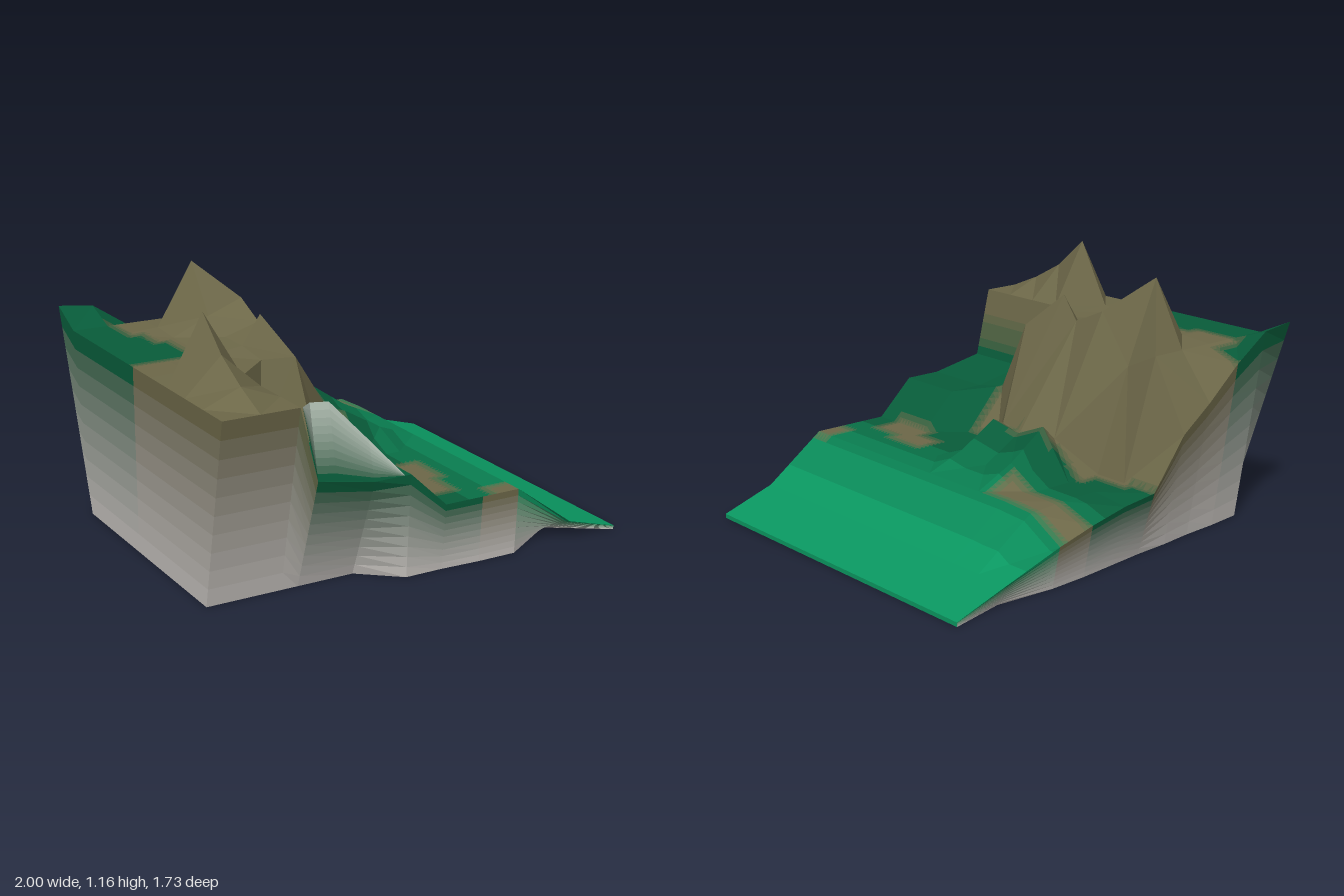
import * as THREE from 'three';

// Terrain grid: columns run left to right (x), rows run back to front (z)
const XS = [-1, -0.83, -0.65, -0.47, -0.3, -0.12, 0.06, 0.25, 0.44, 0.73, 1];
const ZS = [-0.855, -0.68, -0.51, -0.34, -0.17, 0, 0.18, 0.35, 0.52, 0.69, 0.86];
const HEIGHTS = [
  [0.94, 0.92, 0.8, 0.65, 0.54, 0.31, 0.29, 0.25, 0.2, 0.1, 0.02],
  [0.86, 0.86, 0.86, 0.86, 0.86, 0.31, 0.31, 0.31, 0.3, 0.1, 0.02],
  [0.86, 0.86, 0.87, 1.165, 0.78, 0.31, 0.31, 0.31, 0.31, 0.1, 0.02],
  [0.86, 0.86, 0.86, 0.94, 1.005, 0.46, 0.53, 0.4, 0.31, 0.1, 0.02],
  [0.86, 0.86, 0.86, 0.88, 0.93, 0.47, 0.46, 0.35, 0.31, 0.1, 0.02],
  [0.86, 0.86, 0.86, 0.88, 1.015, 0.46, 0.49, 0.38, 0.31, 0.1, 0.02],
  [0.86, 0.865, 0.86, 0.86, 0.85, 0.31, 0.31, 0.31, 0.31, 0.1, 0.02],
  [0.86, 1.165, 0.86, 0.53, 0.51, 0.31, 0.31, 0.31, 0.31, 0.1, 0.02],
  [0.86, 1.02, 0.86, 0.53, 0.48, 0.48, 0.31, 0.31, 0.31, 0.1, 0.02],
  [0.86, 0.93, 0.86, 0.53, 0.48, 0.48, 0.31, 0.31, 0.31, 0.1, 0.02],
  [0.86, 0.86, 0.86, 0.53, 0.48, 0.48, 0.31, 0.31, 0.31, 0.1, 0.02],
];
const N = 10; // cells per side
const SUB = 8; // colour patches per cell side

// Outline of the footing, narrower than the rim at the high end
const BASE_FRONT = [0.68, 0.68, 0.68, 0.68, 0.68, 0.83, 0.83, 0.84, 0.84, 0.66, 0.84];
const BASE_BACK = [-0.54, -0.71, -0.73, -0.74, -0.76, -0.77, -0.79, -0.81, -0.82, -0.8, -0.86];

const ROCK_COLOR = new THREE.Color(0x6c6748);
const MEADOW = new THREE.Color(0x085c3a);
const GRASS = new THREE.Color(0x0a9660);
const EARTH = new THREE.Color(0xc0bcb8);
const PALE = new THREE.Color(0xb4c2b6);

// Bare rock areas as x0, x1, z0, z1
const ROCK = [
  [-0.65, -0.12, -0.9, -0.64], [-0.8, -0.08, -0.72, -0.46], [-0.75, 0.0, -0.54, -0.3],
  [-0.7, 0.06, -0.38, -0.13], [-0.65, 0.04, -0.21, 0.04], [-1.1, -0.02, -0.02, 0.2],
  [-1.1, -0.12, 0.14, 0.35], [-1.1, -0.6, 0.3, 0.9],
  [0.27, 0.41, -0.9, -0.38], [0.04, 0.19, 0.48, 0.73], [0.11, 0.24, 0.34, 0.56], [0.31, 0.45, 0.77, 0.9],
];

// Grass brightens downhill, and rock patches have soft edges, both in a few steps
function groundColor(x, z) {
  const step = (v) => Math.round(THREE.MathUtils.clamp(v, 0, 1) * 4) / 4;
  const inside = Math.max(...ROCK.map(([x0, x1, z0, z1]) => Math.min(x - x0, x1 - x, z - z0, z1 - z)));
  return MEADOW.clone().lerp(GRASS, step((x - 0.1) / 0.6)).lerp(ROCK_COLOR, step(0.5 + inside / 0.06));
}

// Grid corner, nudged where the cliff, crest and crest foot leave the grid
function corner(i, j) {
  let x = XS[i], z = ZS[j];
  if (i === 3 && j >= 7) x = -0.57;
  if (i === 4 && j === 5) x = -0.38;
  if (i === 5 && j >= 3 && j <= 5) x = [-0.01, 0.04, 0][j - 3];
  if (j === N && i === N) z = 0.84;
  if (j === 0 && i > 3 && i !== 9) z = -0.865;
  return new THREE.Vector3(x, HEIGHTS[j][i], z);
}

function basePoint(i, j) {
  const x = corner(i, j).x;
  const z = i === N ? corner(i, j).z
    : j === 0 ? BASE_BACK[i]
    : j === N ? BASE_FRONT[i]
    : THREE.MathUtils.clamp(ZS[j], BASE_BACK[i], BASE_FRONT[i]);
  return new THREE.Vector3(x, 0, z);
}

export function createModel() {
  const group = new THREE.Group();
  group.name = 'mountainTerrain';

  // Collects triangles by part and colour
  const buckets = new Map();
  function tri(part, color, a, b, c) {
    const key = part + '|' + color.getHexString();
    if (!buckets.has(key)) buckets.set(key, { part, color, points: [] });
    buckets.get(key).points.push(a, b, c);
  }
  function quad(part, color, a, b, c, d) {
    tri(part, color, a, b, c);
    tri(part, color, a, c, d);
  }
  const mix = (a, b, t) => a.clone().lerp(b, t);

  // A skin between an upper and a lower edge, in bands that fade in colour
  function fadingStrip(part, top, low, from, to) {
    const bands = 10;
    for (let s = 0; s < bands; s++) {
      const t = s / bands, u = (s + 1) / bands;
      quad(part, mix(from, to, s / (bands - 1)),
        mix(top[0], low[0], t), mix(top[0], low[0], u), mix(top[1], low[1], u), mix(top[1], low[1], t));
    }
  }

  // One flat facet split into small triangles so colours can change across it
  function facet(a, b, c) {
    const p = (u, v) => a.clone()
      .addScaledVector(b.clone().sub(a), u / SUB)
      .addScaledVector(c.clone().sub(a), v / SUB);
    const add = (q, r, s) => {
      const m = q.clone().add(r).add(s).divideScalar(3);
      tri('ground', groundColor(m.x, m.z), q, r, s);
    };
    for (let u = 0; u < SUB; u++) {
      for (let v = 0; v < SUB - u; v++) {
        add(p(u, v), p(u + 1, v), p(u, v + 1));
        if (u + v < SUB - 1) add(p(u + 1, v), p(u + 1, v + 1), p(u, v + 1));
      }
    }
  }

  // Ground surface, each cell folded along its more level diagonal,
  // or along the higher one where the ridges of the main peak run
  for (let j = 0; j < N; j++) {
    for (let i = 0; i < N; i++) {
      const a = corner(i, j), b = corner(i + 1, j);
      const c = corner(i + 1, j + 1), d = corner(i, j + 1);
      const ridge = i === 3 && (j === 1 || j === 2);
      const foldAC = ridge ? a.y + c.y > b.y + d.y : Math.abs(a.y - c.y) < Math.abs(b.y - d.y);
      if (foldAC) {
        facet(a, d, c);
        facet(a, c, b);
      } else {
        facet(a, d, b);
        facet(c, b, d);
      }
    }
  }

  // Side walls around the rim, fading from ground colour to bare earth
  const rim = [];
  for (let i = 0; i < N; i++) rim.push([i, N]);
  for (let j = N; j > 0; j--) rim.push([N, j]);
  for (let i = N; i > 0; i--) rim.push([i, 0]);
  for (let j = 0; j < N; j++) rim.push([0, j]);
  rim.forEach((p, k) => {
    const q = rim[(k + 1) % rim.length];
    const top = [corner(...p), corner(...q)];
    const m = mix(top[0], top[1], 0.5);
    const ground = groundColor(m.x, m.z);
    const lowColor = p[0] === N && q[0] === N ? ground : EARTH;
    fadingStrip('wall', top, [basePoint(...p), basePoint(...q)], ground, lowColor);
  });

  // Thin pale bank standing on the front rim of the hollow, leaning back
  const bankTop = [[-0.64, 0.86, 0.86], [-0.57, 0.85, 0.79], [-0.48, 0.84, 0.79], [-0.3, 0.65, 0.81], [-0.15, 0.48, 0.86]];
  const bankFoot = [[-0.64, 0.86, 0.86], [-0.57, 0.53, 0.86], [-0.48, 0.515, 0.86], [-0.3, 0.48, 0.86], [-0.15, 0.48, 0.86]];
  for (let k = 0; k < 4; k++) {
    const edge = (list) => [new THREE.Vector3(...list[k]), new THREE.Vector3(...list[k + 1])];
    fadingStrip('frontBank', edge(bankTop), edge(bankFoot), PALE, MEADOW);
  }

  // Flat underside
  for (let i = 0; i < N; i++) {
    quad('underside', EARTH, basePoint(i, 0), basePoint(i + 1, 0), basePoint(i + 1, N), basePoint(i, N));
  }

  for (const { part, color, points } of buckets.values()) {
    const geometry = new THREE.BufferGeometry().setFromPoints(points);
    geometry.computeVertexNormals();
    const mesh = new THREE.Mesh(geometry, new THREE.MeshStandardMaterial({ color, flatShading: true }));
    mesh.name = part;
    group.add(mesh);
  }
  return group;
}
